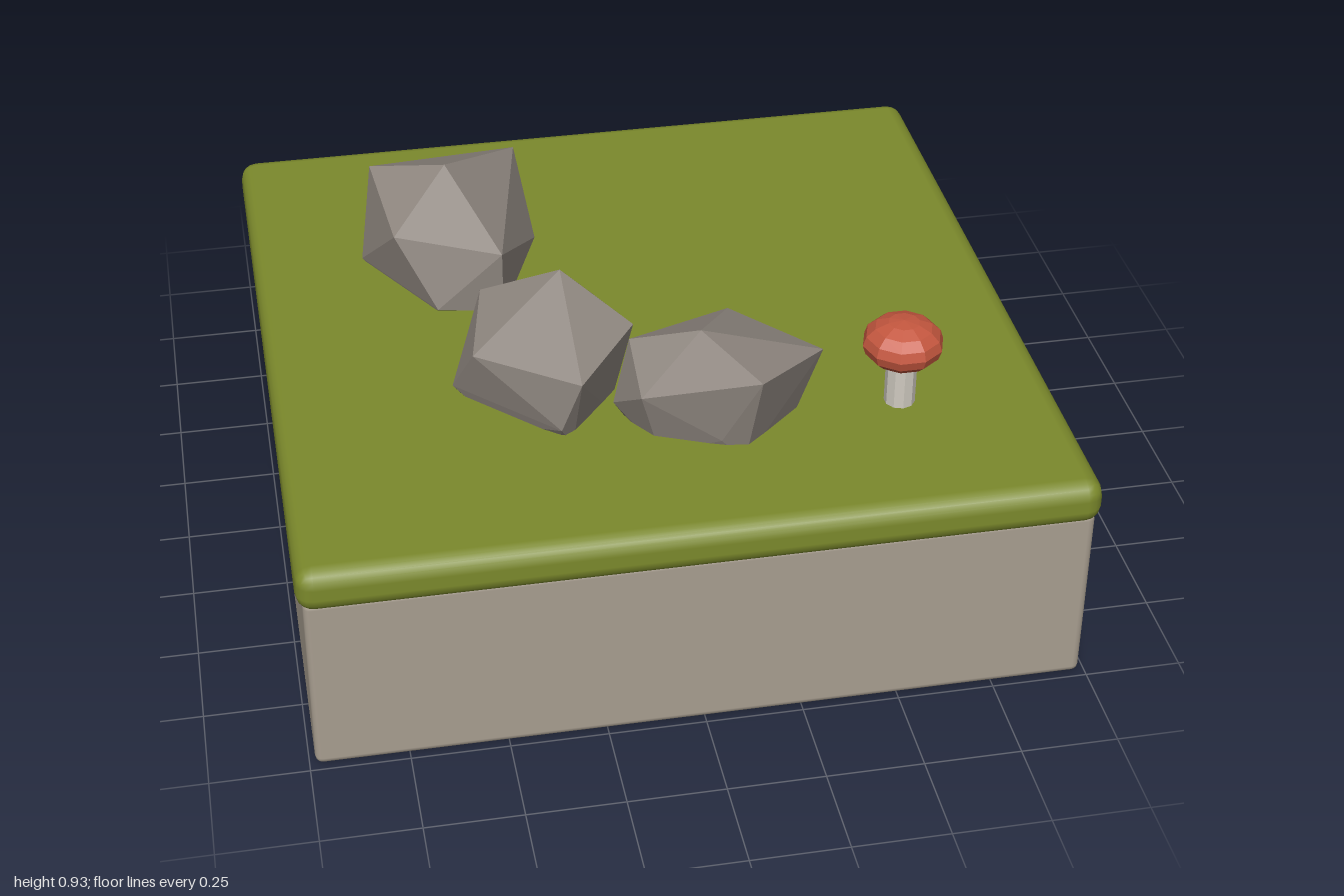
import * as THREE from 'three';
import { RoundedBoxGeometry } from 'three/addons/geometries/RoundedBoxGeometry.js';
import { ConvexGeometry } from 'three/addons/geometries/ConvexGeometry.js';

const GROUND = 0.605;

function material(color, flatShading = false) {
  return new THREE.MeshStandardMaterial({ color, flatShading });
}

function addMesh(parent, name, geometry, mat, x = 0, y = 0, z = 0) {
  const mesh = new THREE.Mesh(geometry, mat);
  mesh.name = name;
  mesh.position.set(x, y, z);
  parent.add(mesh);
  return mesh;
}

// Faceted boulder: hull of a few corners, with a narrowed footprint sunk into the grass
function rockGeometry(corners) {
  const points = corners.map((c) => new THREE.Vector3(...c));
  const centre = points.reduce((s, p) => s.add(p), new THREE.Vector3()).divideScalar(points.length);
  const feet = points.map((p) => new THREE.Vector3(
    THREE.MathUtils.lerp(centre.x, p.x, 0.72), GROUND - 0.06,
    THREE.MathUtils.lerp(centre.z, p.z, 0.72)));
  return new ConvexGeometry([...points, ...feet]);
}

export function createModel() {
  const model = new THREE.Group();
  model.name = 'groundTile';

  // Stone base and overhanging grass slab
  addMesh(model, 'stoneBase', new RoundedBoxGeometry(1.97, 0.51, 1.97, 2, 0.02),
    material(0xa89e90), 0, 0.255, 0);
  addMesh(model, 'grassTop', new RoundedBoxGeometry(2, 0.12, 2, 2, 0.045),
    material(0x7c8a2c), 0, 0.545, 0);

  // Boulders, each listed by its corners with the peak first
  const rocks = {
    backRock: [
      [-0.465, 0.91, -0.335], [-0.66, 0.86, -0.45], [-0.245, 0.81, -0.57],
      [-0.35, 0.78, -0.055], [-0.625, 0.79, -0.18], [-0.7, 0.61, -0.38],
      [-0.5, 0.64, -0.55], [-0.22, 0.64, -0.355], [-0.525, 0.61, -0.08],
      [-0.35, 0.6, -0.06],
    ],
    middleRock: [
      [-0.245, 0.925, 0.27], [-0.44, 0.83, 0.18], [-0.49, 0.775, 0.4],
      [-0.16, 0.77, 0.125], [-0.075, 0.81, 0.38], [-0.24, 0.775, 0.58],
      [-0.535, 0.63, 0.31], [-0.36, 0.645, 0.125], [-0.07, 0.66, 0.25],
      [-0.29, 0.63, 0.56],
    ],
    frontRock: [
      [0.075, 0.855, 0.505], [0.19, 0.77, 0.29], [0.385, 0.78, 0.535],
      [0.19, 0.815, 0.71], [-0.095, 0.735, 0.605], [-0.095, 0.8, 0.43],
      [-0.145, 0.645, 0.48], [0.05, 0.65, 0.32], [0.25, 0.6, 0.56],
      [0.1, 0.62, 0.66],
    ],
  };
  const rockMaterial = material(0x8c847d, true);
  for (const [name, corners] of Object.entries(rocks)) {
    addMesh(model, name, rockGeometry(corners), rockMaterial);
  }

  // Mushroom: thin stem under a squashed faceted cap
  const mushroom = new THREE.Group();
  mushroom.name = 'mushroom';
  mushroom.position.set(0.59, 0, 0.545);
  model.add(mushroom);
  addMesh(mushroom, 'stem', new THREE.CylinderGeometry(0.04, 0.04, 0.17, 10),
    material(0xcfcac0, true), 0, 0.665, 0);
  const cap = addMesh(mushroom, 'cap', new THREE.SphereGeometry(0.105, 10, 8),
    material(0xc4573f, true), 0, 0.784, 0);
  cap.scale.y = 0.63;

  return model;
}
